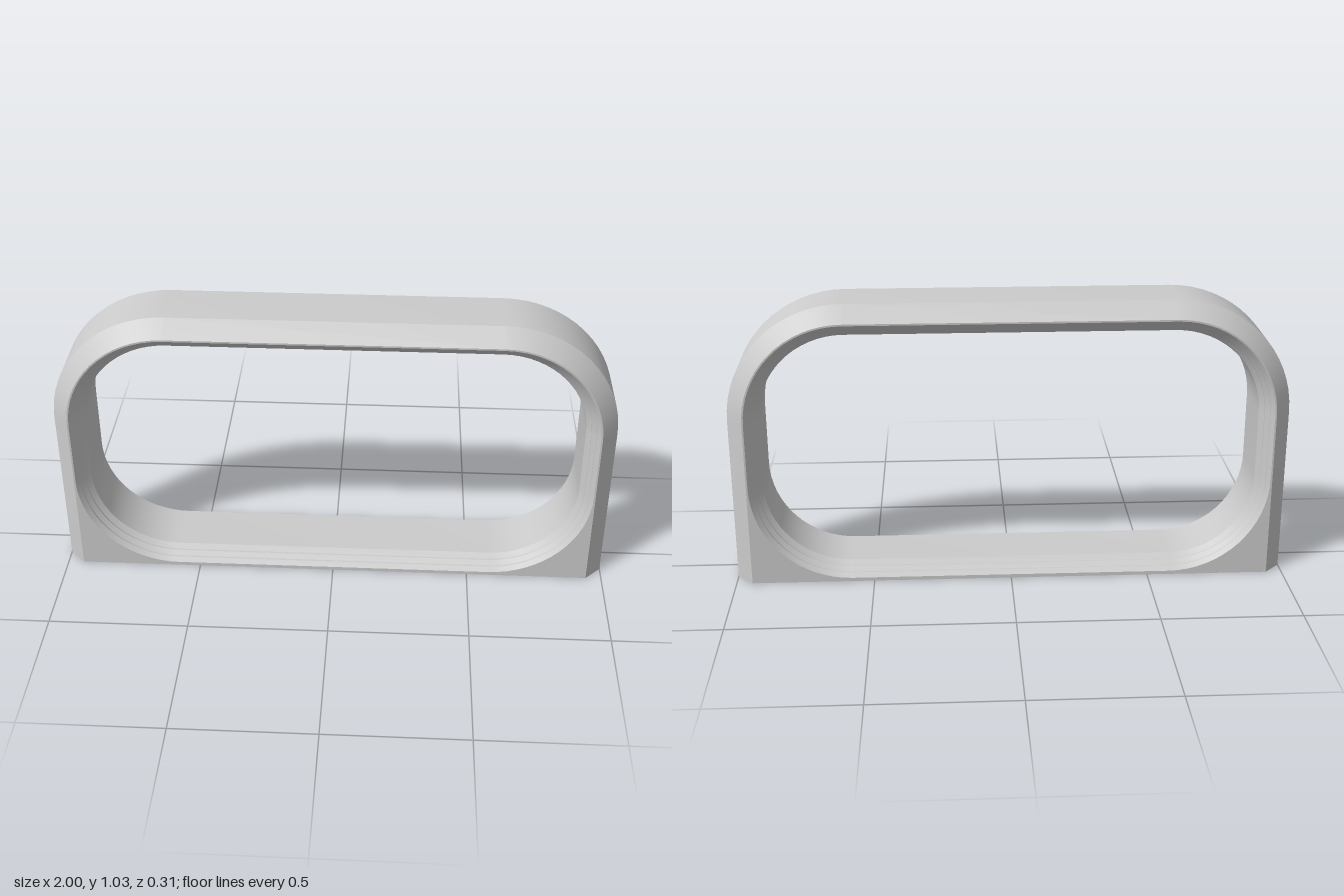
import * as THREE from 'three';
import { toCreasedNormals } from 'three/addons/utils/BufferGeometryUtils.js';

const CX = 0.58, TOP = 0.61, LOW = 0.37; // centres shared by all corner arcs
const SEG = 16;

// Closed outline, counter-clockwise from the front; square = sharp corners on the ground.
function outline(r, z, square) {
  const corners = [[CX, TOP, 0], [-CX, TOP, 1], [-CX, LOW, 2], [CX, LOW, 3]];
  const pts = [];
  for (const [x, y, q] of corners) {
    for (let i = 0; i <= SEG; i++) {
      const a = (q + i / SEG) * Math.PI / 2;
      if (square && q > 1) pts.push(new THREE.Vector3(x + Math.sign(x) * r, 0, z));
      else pts.push(new THREE.Vector3(x + r * Math.cos(a), y + r * Math.sin(a), z));
    }
  }
  return pts;
}

// Skin between successive outlines, leaving out collapsed triangles.
function loft(rows) {
  const pos = [];
  const tri = (a, b, c) => {
    if (new THREE.Triangle(a, b, c).getArea() > 1e-9) {
      for (const p of [a, b, c]) pos.push(p.x, p.y, p.z);
    }
  };
  for (let r = 0; r < rows.length - 1; r++) {
    const A = rows[r], B = rows[r + 1];
    for (let i = 0; i < A.length; i++) {
      const j = (i + 1) % A.length;
      tri(A[i], B[i], B[j]);
      tri(A[i], B[j], A[j]);
    }
  }
  const g = new THREE.BufferGeometry();
  g.setAttribute('position', new THREE.Float32BufferAttribute(pos, 3));
  return toCreasedNormals(g, Math.PI / 6);
}

export function createModel() {
  const group = new THREE.Group();
  const material = new THREE.MeshStandardMaterial({ color: 0xcccccc });
  const add = (name, rows) => {
    const mesh = new THREE.Mesh(loft(rows), material);
    mesh.name = name;
    group.add(mesh);
  };

  // Outer frame: front face, chamfer, side wall, chamfer, back face
  const D = 0.157, HOLE = 0.357;
  add('frame', [
    outline(HOLE, D, false),
    outline(0.363, D, true),
    outline(0.42, 0.1, true),
    outline(0.42, -0.1, true),
    outline(0.363, -D, true),
    outline(HOLE, -D, false),
  ]);

  // Stepped rim of the opening, the same front and back
  const steps = [[HOLE, D], [0.342, 0.143], [0.342, 0.136], [0.327, 0.122], [0.327, 0.115], [0.31, 0.1]];
  add('openingRim', [
    ...steps.map(([r, z]) => outline(r, -z, false)),
    ...steps.reverse().map(([r, z]) => outline(r, z, false)),
  ]);
  return group;
}
